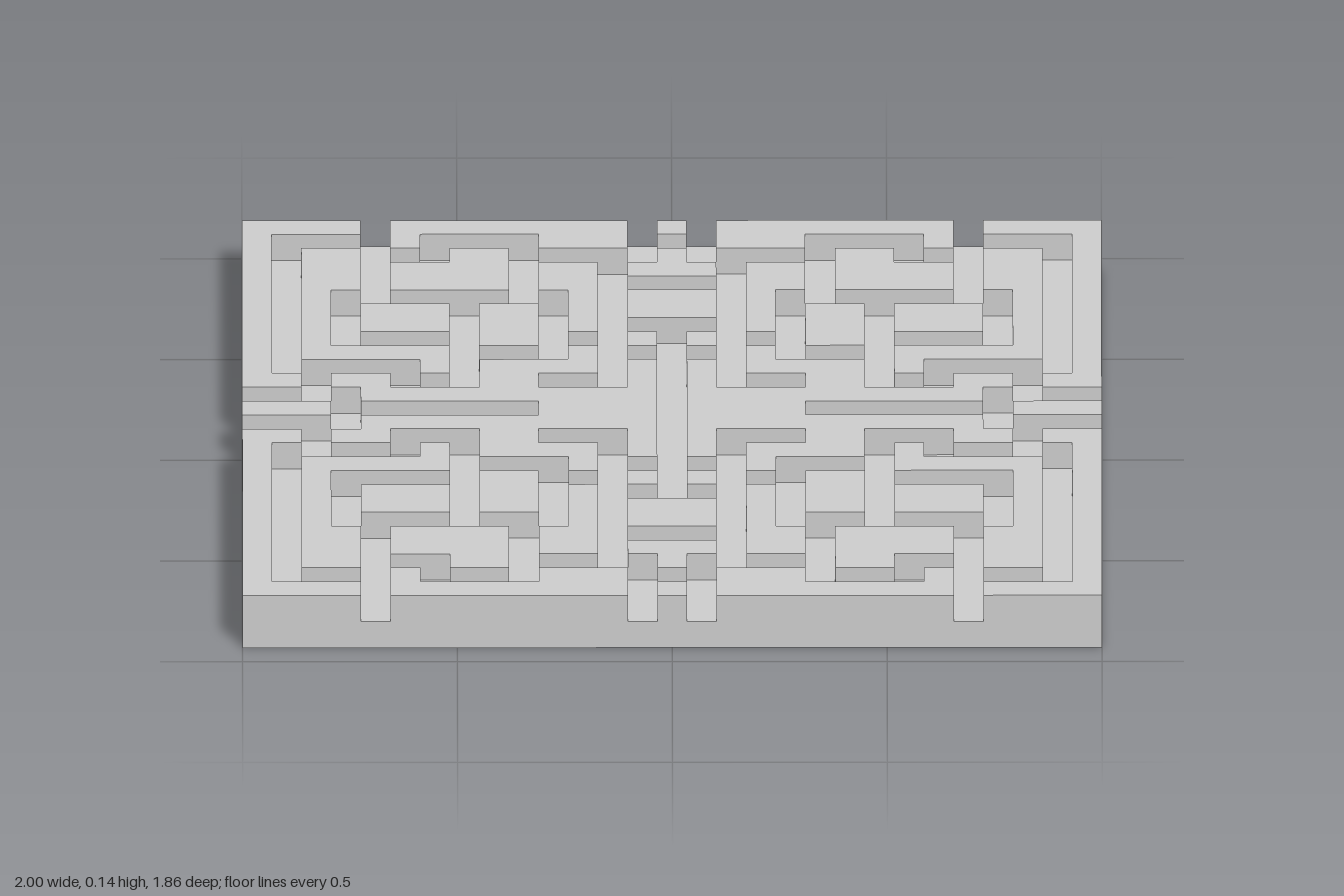
import * as THREE from 'three';
import { mergeGeometries } from 'three/addons/utils/BufferGeometryUtils.js';

// One quarter of the maze, centre row and column included: # wall, . path
const QUARTER = [
  '####.########.#',
  '#....#....###..',
  '#.##...##.....#',
  '#.##.####.##.##',
  '#.##.####.##...',
  '#.#........#.##',
  '#.#.###.##.#.##',
  '#.#.###.##.#...',
  '#.#.....##...#.',
  '#.#####....#...',
  '#.....#.####.#.',
  '##.##...##...#.',
  '....##########.',
  '###.......####.',
];
const COLS = 29, ROWS = 27;
const S = 2 / COLS; // cell size, also floor height and wall height
const W = COLS * S, D = ROWS * S;

// Mirrors the quarter over both axes
function isWall(c, r) {
  if (c < 0 || r < 0 || c >= COLS || r >= ROWS) return false;
  return QUARTER[Math.min(r, ROWS - 1 - r)][Math.min(c, COLS - 1 - c)] === '#';
}

// Flat panel facing up, down or outward by a turn about y
function panel(w, h, x, y, z, turnY = 0, turnX = 0) {
  return new THREE.PlaneGeometry(w, h).rotateX(turnX).rotateY(turnY).translate(x, y, z);
}

export function createModel() {
  const group = new THREE.Group();
  const material = new THREE.MeshStandardMaterial({ color: 0xcccccc, flatShading: true });
  const add = (name, parts) => {
    const mesh = new THREE.Mesh(mergeGeometries(parts), material);
    mesh.name = name;
    group.add(mesh);
  };

  // Slab underside and four sides
  const Q = Math.PI / 2;
  add('base', [
    panel(W, D, 0, 0, 0, 0, Q),
    panel(W, S, 0, S / 2, D / 2),
    panel(W, S, 0, S / 2, -D / 2, 2 * Q),
    panel(D, S, W / 2, S / 2, 0, Q),
    panel(D, S, -W / 2, S / 2, 0, -Q),
  ]);

  // Path floors, wall tops and every exposed wall side
  const floors = [], walls = [];
  const sides = [[0, 1, 0], [1, 0, Q], [0, -1, 2 * Q], [-1, 0, -Q]];
  for (let r = 0; r < ROWS; r++) {
    for (let c = 0; c < COLS; c++) {
      const x = (c + 0.5) * S - W / 2, z = (r + 0.5) * S - D / 2;
      if (!isWall(c, r)) {
        floors.push(panel(S, S, x, S, z, 0, -Q));
        continue;
      }
      walls.push(panel(S, S, x, 2 * S, z, 0, -Q));
      for (const [dx, dz, turn] of sides) {
        if (!isWall(c + dx, r + dz)) {
          walls.push(panel(S, S, x + dx * S / 2, 1.5 * S, z + dz * S / 2, turn));
        }
      }
    }
  }
  add('pathFloor', floors);
  add('mazeWalls', walls);
  return group;
}
